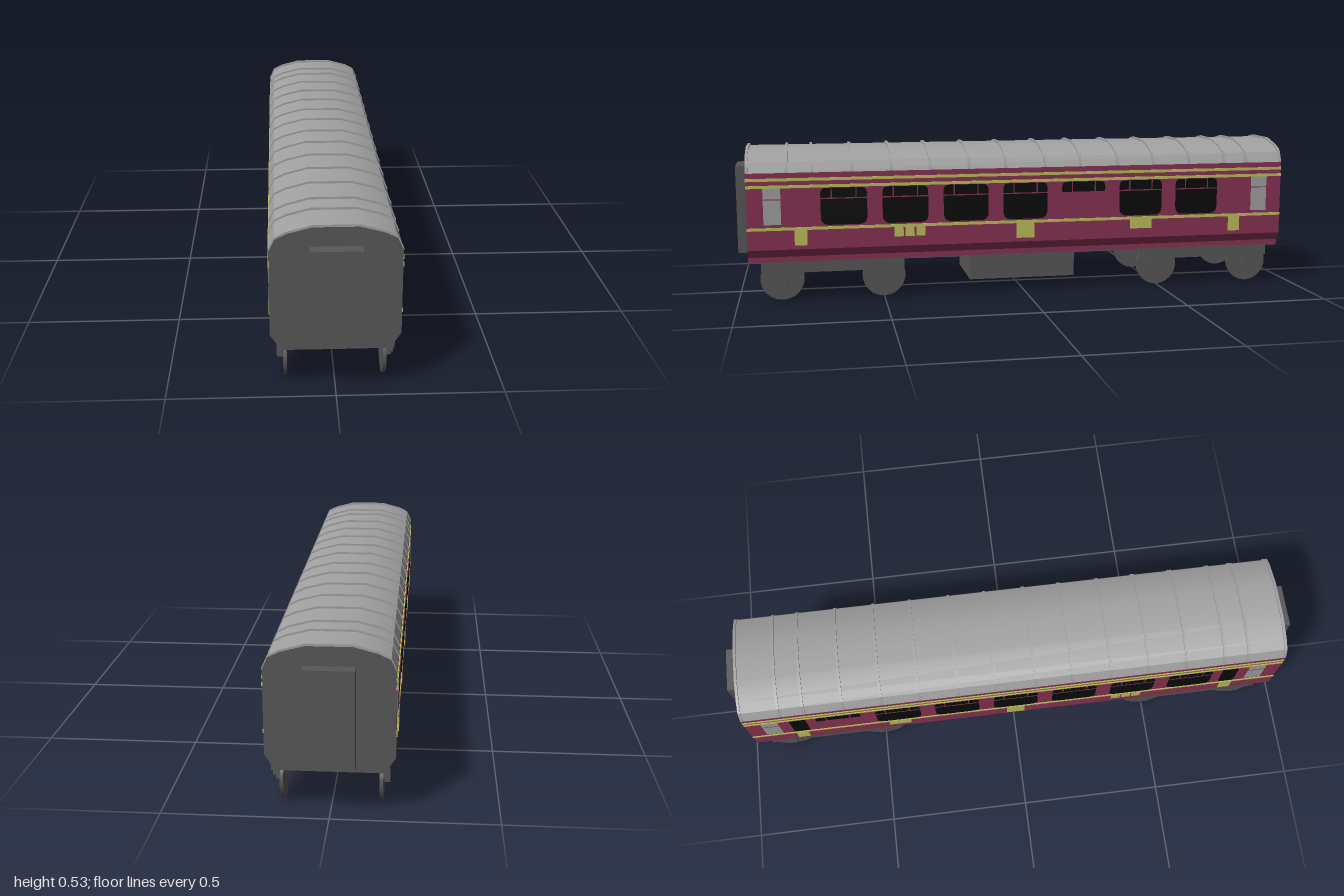
import * as THREE from 'three';
import { toCreasedNormals } from 'three/addons/utils/BufferGeometryUtils.js';

const mat = (name, color) => {
  const m = new THREE.MeshStandardMaterial({ color });
  m.name = name;
  return m;
};

export function createModel() {
  const model = new THREE.Group();
  model.name = 'railwayCarriage';

  const maroon = mat('maroon', 0x8a3254);
  const yellow = mat('lining yellow', 0xc0c25c);
  const roofGrey = mat('roof grey', 0xa2a2a2);
  const darkGrey = mat('dark grey', 0x585858);
  const black = mat('window black', 0x0a0a0a);

  const add = (name, geo, material, x = 0, y = 0, z = 0) => {
    const mesh = new THREE.Mesh(geo, material);
    mesh.name = name;
    mesh.position.set(x, y, z);
    model.add(mesh);
    return mesh;
  };
  const box = (name, material, w, h, d, x, y, z) =>
    add(name, new THREE.BoxGeometry(w, h, d), material, x, y, z);

  // Extrude a half outline, mirrored in x, along z and centred on z = 0
  const prism = (half, depth) => {
    const pts = [...half, ...half.map(([x, y]) => [-x, y]).reverse()];
    const shape = new THREE.Shape(pts.map(([x, y]) => new THREE.Vector2(x, y)));
    const geo = new THREE.ExtrudeGeometry(shape, { depth, bevelEnabled: false });
    geo.translate(0, 0, -depth / 2);
    return geo;
  };

  // Body with dark ends, floor and curved roof
  const length = 1.924;
  add('body', prism([[0.173, 0.137], [0.173, 0.155], [0.192, 0.183], [0.192, 0.447]], length), [darkGrey, maroon]);
  box('floor', darkGrey, 0.344, 0.006, length, 0, 0.137, 0);
  const roof = prism([[0.192, 0.447], [0.175, 0.484], [0.14, 0.501], [0.068, 0.52]], length);
  add('roof', toCreasedNormals(roof, 0.65), [darkGrey, roofGrey]);

  // Raised roof ribs
  const rib = toCreasedNormals(
    prism([[0.193, 0.447], [0.193, 0.452], [0.176, 0.49], [0.14, 0.508], [0.066, 0.527]], 0.009), 0.65);
  for (const z of [0.07, 0.2, 0.337, 0.47, 0.605, 0.74, 0.825, 0.957])
    for (const s of [1, -1]) add('roofRib', rib, roofGrey, 0, 0, s * z);

  // Gangway at each end
  for (const s of [1, -1]) box('gangway', darkGrey, 0.152, 0.306, 0.04, 0, 0.308, s * 0.98);

  // Window pane with separate bottom and top corner radii
  const pane = (w, y0, y1, rb, rt) => {
    const a = w / 2, s = new THREE.Shape();
    s.moveTo(-a + rb, y0).lineTo(a - rb, y0).quadraticCurveTo(a, y0, a, y0 + rb);
    s.lineTo(a, y1 - rt).quadraticCurveTo(a, y1, a - rt, y1);
    s.lineTo(-a + rt, y1).quadraticCurveTo(-a, y1, -a, y1 - rt);
    s.lineTo(-a, y0 + rb).quadraticCurveTo(-a, y0, -a + rb, y0);
    return new THREE.ExtrudeGeometry(s, { depth: 0.002, bevelEnabled: false, curveSegments: 5 });
  };
  const largePane = pane(0.158, 0.265, 0.393, 0.028, 0.02);
  const smallPane = pane(0.158, 0.357, 0.393, 0.004, 0.02);
  const narrowPane = pane(0.056, 0.27, 0.393, 0.004, 0.004);
  const windowZ = [0.635, 0.424, 0.212, 0, -0.212, -0.424, -0.635];

  for (const side of [1, -1]) {
    const x = side * 0.192;
    const glass = (name, geo, material, z) => {
      add(name, geo, material, x, 0, z).rotation.y = side * Math.PI / 2;
    };
    // Thin plate on the side, given by its y and z limits
    const plate = (name, material, y0, y1, z0, z1, t = 0.003) =>
      box(name, material, t * 2, y1 - y0, Math.abs(z1 - z0), x, (y0 + y1) / 2, (z0 + z1) / 2);

    // Main windows, one of them a short one at a different place on each side
    const smallZ = side > 0 ? -0.212 : -0.635;
    for (const z of windowZ) {
      const small = z === smallZ;
      glass(small ? 'smallWindow' : 'window', small ? smallPane : largePane, black, z);
      if (!small) plate('windowBar', maroon, 0.355, 0.359, z - 0.079, z + 0.079);
      for (const s of [1, -1])
        plate('ventBar', maroon, 0.357, 0.393, z + s * 0.042 - 0.002, z + s * 0.042 + 0.002);
    }

    for (const s of [1, -1]) {
      // Door panes, and the narrow windows of the corridor side
      plate('doorPane', roofGrey, 0.27, 0.395, s * 0.847, s * 0.906, 0.002);
      plate('doorPaneBar', maroon, 0.355, 0.358, s * 0.847, s * 0.906);
      if (side < 0) glass('narrowWindow', narrowPane, black, s * 0.778);
      plate('endPanel', yellow, 0.197, 0.255, s * 0.761, s * 0.804);
    }

    // Lining and number panels
    for (const y of [0.255, 0.4, 0.424]) plate('liningStripe', yellow, y - 0.005, y + 0.005, -0.962, 0.962, 0.0025);
    plate('centrePanel', yellow, 0.197, 0.255, -0.033, 0.033);
    plate('rearPanel', yellow, 0.217, 0.255, -0.466, -0.386);
    for (const z of [0.448, 0.41, 0.372]) plate('frontPanel', yellow, 0.217, 0.255, z - 0.016, z + 0.016);

    // Bogies: side frame, axle boxes and wheels
    for (const end of [1, -1]) {
      box('bogieFrame', darkGrey, 0.018, 0.04, 0.49, side * 0.164, 0.118, end * 0.675);
      for (const z of [0.85, 0.5]) {
        box('axleBox', darkGrey, 0.018, 0.04, 0.038, side * 0.164, 0.08, end * z);
        const wheel = new THREE.CylinderGeometry(0.075, 0.075, 0.011, 32);
        wheel.rotateZ(Math.PI / 2);
        add('wheel', wheel, darkGrey, side * 0.1485, 0.075, end * z);
      }
    }
  }

  // Equipment box under the floor
  box('underfloorBox', darkGrey, 0.27, 0.097, 0.384, 0, 0.0885, 0);
  return model;
}
